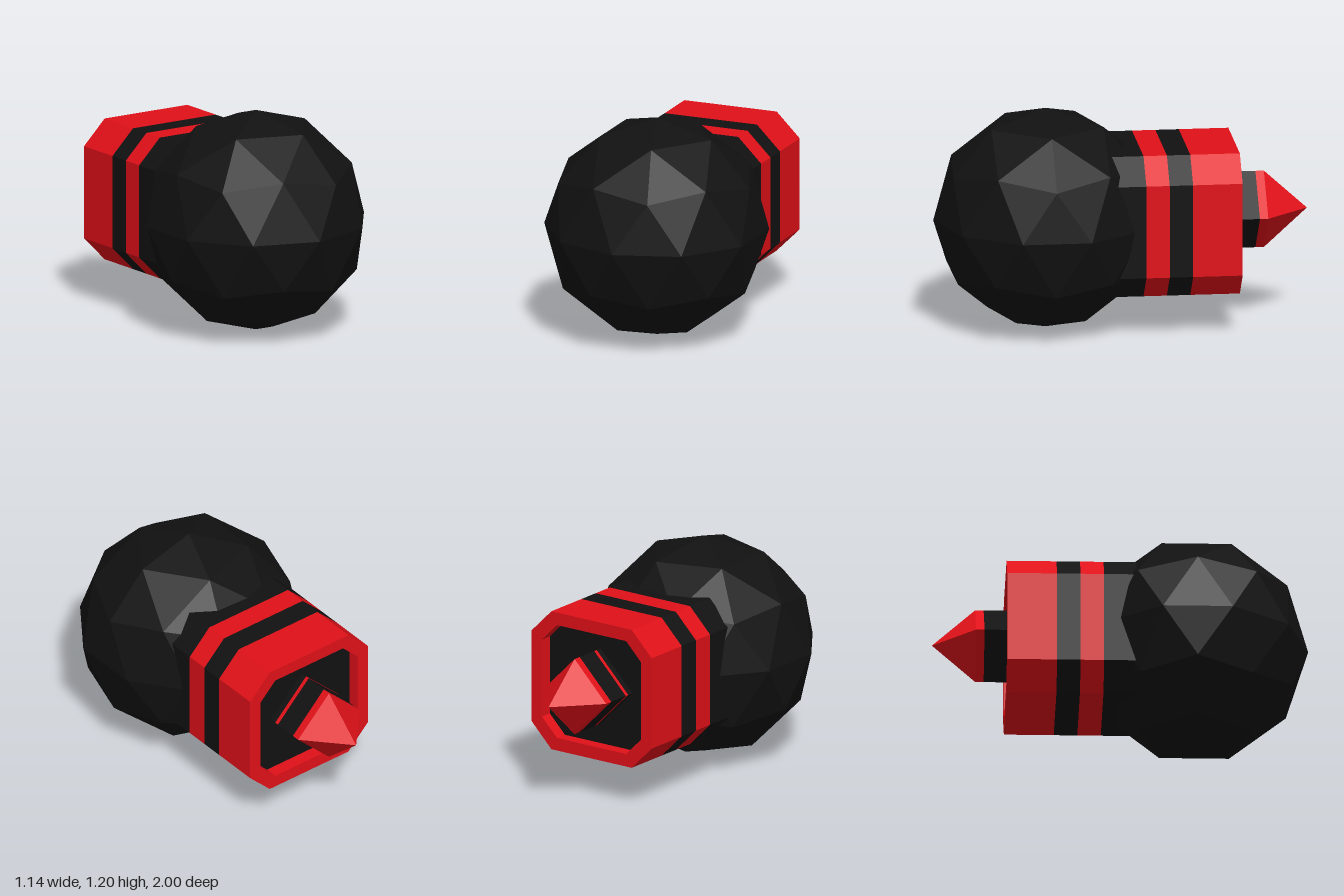
import * as THREE from 'three';

const black = new THREE.MeshStandardMaterial({ color: 0x111111, flatShading: true });
const red = new THREE.MeshStandardMaterial({ color: 0xe01018, flatShading: true });

// Octagon outline: a rectangle with cut corners
function octagon(w, h, c, Type = THREE.Shape) {
  return new Type([
    [w - c, -h], [w, -h + c], [w, h - c], [w - c, h],
    [-w + c, h], [-w, h - c], [-w, -h + c], [-w + c, -h],
  ].map(([x, y]) => new THREE.Vector2(x, y)));
}

export function createModel() {
  const model = new THREE.Group();
  const add = (parent, name, geometry, material) => {
    const mesh = new THREE.Mesh(geometry, material);
    mesh.name = name;
    parent.add(mesh);
    return mesh;
  };

  // Faceted ball, turned so one corner points straight up
  const ballGeometry = new THREE.IcosahedronGeometry(0.6, 1);
  ballGeometry.rotateZ(-Math.atan(2 / (1 + Math.sqrt(5))));
  add(model, 'ball', ballGeometry, black).position.set(0, 0.603, 0.4);

  // Striped octagonal housing
  const housing = new THREE.Group();
  housing.name = 'housing';
  housing.position.set(-0.01, 0.605, 0);
  model.add(housing);
  const band = (name, back, front, material, hollow = false) => {
    const shape = octagon(0.4, 0.385, 0.133);
    if (hollow) shape.holes.push(octagon(0.33, 0.315, 0.1, THREE.Path));
    const geometry = new THREE.ExtrudeGeometry(shape, { depth: front - back, bevelEnabled: false });
    add(housing, name, geometry, material).position.z = back;
  };
  band('collar', -0.095, 0.08, black);
  band('frontBand', -0.22, -0.095, red);
  band('middleBand', -0.345, -0.22, black);
  band('rearBand', -0.53, -0.345, red);
  band('rearRim', -0.61, -0.53, red, true);

  // Dark floor of the rear recess
  const floor = new THREE.ExtrudeGeometry(octagon(0.33, 0.315, 0.1), { depth: 0.02, bevelEnabled: false });
  add(housing, 'recessFloor', floor, black).position.z = -0.54;

  // Four-sided spike pointing to the back
  const spike = new THREE.Group();
  spike.name = 'spike';
  spike.position.set(-0.018, 0.608, 0);
  model.add(spike);
  const section = (name, start, end, rStart, rEnd, material) => {
    const geometry = new THREE.CylinderGeometry(rEnd, rStart, start - end, 4);
    geometry.rotateX(-Math.PI / 2);
    add(spike, name, geometry, material).position.z = (start + end) / 2;
  };
  section('stemBase', -0.5, -0.575, 0.21, 0.21, black);
  section('stemStripe', -0.575, -0.597, 0.21, 0.21, red);
  section('stem', -0.597, -0.725, 0.21, 0.21, black);
  section('tipBase', -0.725, -0.77, 0.21, 0.21, red);
  section('tip', -0.77, -1, 0.21, 0, red);

  return model;
}
